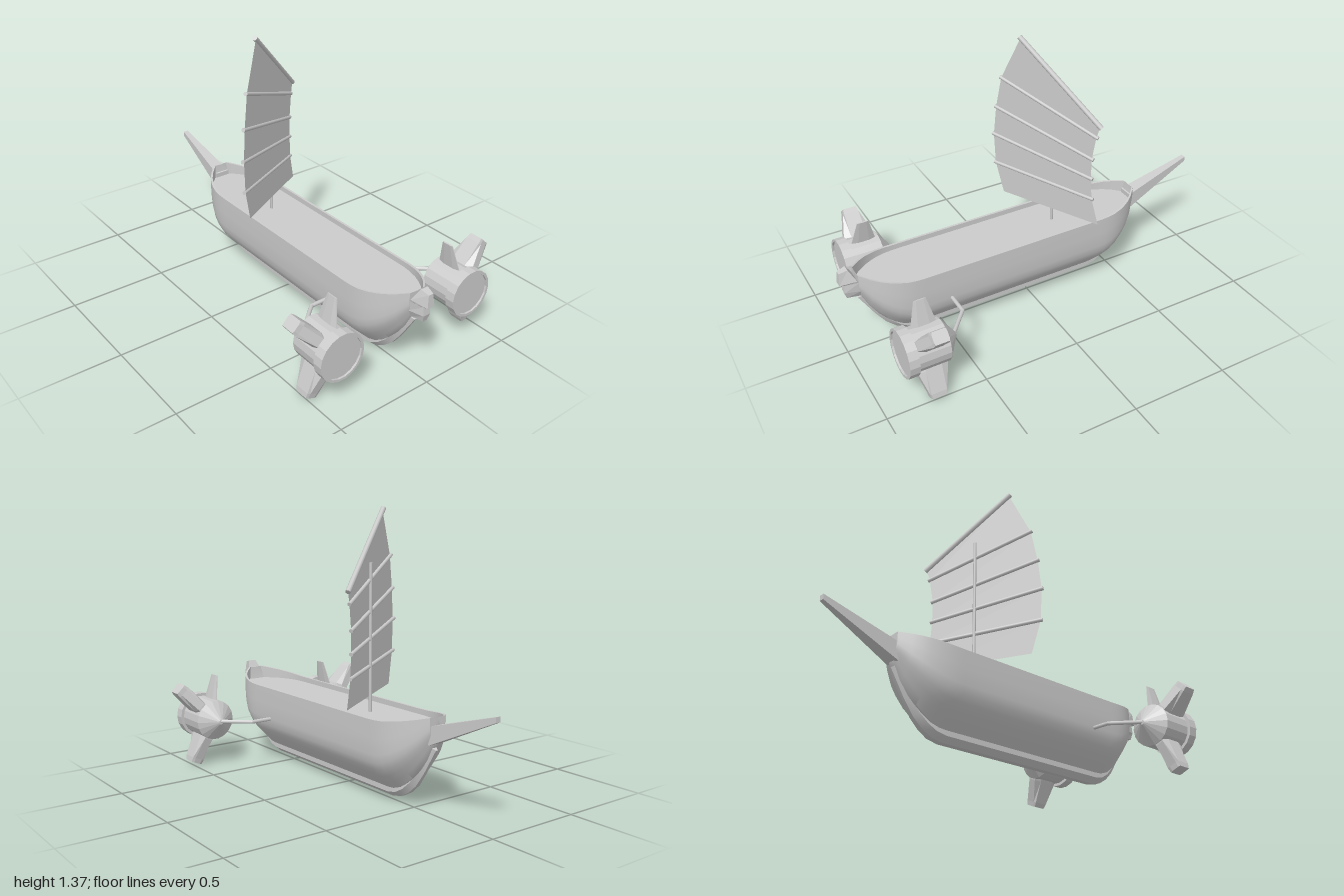
import * as THREE from 'three';
import { toCreasedNormals } from 'three/addons/utils/BufferGeometryUtils.js';

const smooth = new THREE.MeshStandardMaterial({ color: 0xcccccc });
const flat = new THREE.MeshStandardMaterial({ color: 0xcccccc, flatShading: true });
const thin = new THREE.MeshStandardMaterial({ color: 0xcccccc, side: THREE.DoubleSide });
const V = (x, y, z) => new THREE.Vector3(x, y, z);
const MID = 0.012; // z of the hull's centre line

function add(parent, name, geometry, material = smooth) {
  const mesh = new THREE.Mesh(geometry, material);
  mesh.name = name;
  parent.add(mesh);
  return mesh;
}

// Closed solid through rings of equal point count, capped and facing outward
function loft(rings, crease = 0.6) {
  const n = rings[0].length, last = (rings.length - 1) * n, pts = rings.flat(), idx = [];
  for (let i = 0; i < rings.length - 1; i++) {
    for (let j = 0; j < n; j++) {
      const a = i * n + j, b = i * n + (j + 1) % n;
      idx.push(a, b, a + n, b, b + n, a + n);
    }
  }
  for (let j = 1; j < n - 1; j++) idx.push(0, j + 1, j, last, last + j, last + j + 1);
  let volume = 0;
  for (let i = 0; i < idx.length; i += 3) {
    volume += pts[idx[i]].dot(pts[idx[i + 1]].clone().cross(pts[idx[i + 2]]));
  }
  if (volume < 0) idx.reverse();
  const g = new THREE.BufferGeometry().setFromPoints(pts);
  g.setIndex(idx);
  return toCreasedNormals(g, crease);
}

function rod(parent, name, a, b, r, sides = 8) {
  const mesh = add(parent, name, new THREE.CylinderGeometry(r, r, a.distanceTo(b), sides));
  mesh.position.copy(a).add(b).multiplyScalar(0.5);
  mesh.quaternion.setFromUnitVectors(V(0, 1, 0), b.clone().sub(a).normalize());
}

function buildHull(group) {
  // Stations: distance from midship, half width, rim height, bottom height, deck height
  const half = [
    [0.49, 0.168, 0.415, 0.07, 0.388], [0.53, 0.167, 0.416, 0.073, 0.388],
    [0.575, 0.163, 0.419, 0.088, 0.388], [0.62, 0.152, 0.425, 0.118, 0.388],
    [0.655, 0.138, 0.43, 0.15, 0.388], [0.69, 0.12, 0.436, 0.19, 0.388],
    [0.73, 0.09, 0.444, 0.25, 0.388], [0.762, 0.058, 0.452, 0.315, 0.388],
    [0.775, 0.045, 0.455, 0.34, 0.452],
  ];
  // Side curve: height fraction, width fraction
  const side = [[1, 1], [0.75, 1], [0.52, 0.985], [0.4, 0.94], [0.3, 0.84],
    [0.2, 0.68], [0.1, 0.48], [0, 0.28]];
  const station = (sign) => ([d, w, top, bottom, deck]) => {
    const wi = w - 0.012;
    const right = [[wi, deck], [wi, top], ...side.map(([t, f]) => [w * f, bottom + t * (top - bottom)])];
    const left = right.map(([z, y]) => [-z, y]).reverse();
    return [[0, deck], ...right, ...left].map(([z, y]) => V(0.14 + sign * d, y, MID + z));
  };
  const rings = [...half.map(station(-1)).reverse(), ...half.map(station(1))];
  add(group, 'hull', loft(rings));

  // Keel band following the bottom profile: x offset, y, half width
  const path = [[0.775, 0.30, 0.016], [0.745, 0.25, 0.02], [0.7, 0.175, 0.026], [0.65, 0.105, 0.034],
    [0.6, 0.06, 0.041], [0.55, 0.032, 0.045], [0.49, 0.02, 0.046]];
  const line = [...path.map(([d, y, h]) => [0.14 - d, y, h]),
    ...path.map(([d, y, h]) => [0.14 + d, y, h]).reverse()];
  const keel = line.map(([x, y, h], i) => {
    const p = line[Math.max(i - 1, 0)], q = line[Math.min(i + 1, line.length - 1)];
    const t = new THREE.Vector2(q[0] - p[0], q[1] - p[1]).normalize();
    return [[0.065, h], [0.025, h], [0, 0.35 * h], [0, -0.35 * h], [0.025, -h], [0.065, -h]]
      .map(([up, z]) => V(x - t.y * up, y + t.x * up, MID + z));
  });
  add(group, 'keel', loft(keel, 0.5));

  // Tapered spar at the narrow end
  const square = (x, y0, y1, h) => [V(x, y0, MID - h), V(x, y1, MID - h), V(x, y1, MID + h), V(x, y0, MID + h)];
  add(group, 'spar', loft([square(-0.62, 0.325, 0.412, 0.039), square(-1, 0.5, 0.525, 0.013)]));

  // Carved post: y back, y front, x back, x front, half width back, half width front
  const post = [[0.32, 0.325, 0.905, 0.97, 0.02, 0.012], [0.36, 0.36, 0.905, 0.98, 0.04, 0.02],
    [0.415, 0.405, 0.91, 0.975, 0.045, 0.02], [0.425, 0.41, 0.92, 1.0, 0.045, 0.02],
    [0.486, 0.474, 0.953, 0.995, 0.02, 0.013]];
  add(group, 'figurehead', loft(post.map(([yb, yf, xb, xf, hb, hf]) => [
    V(xb, yb, MID - hb), V(xf, yf, MID - hf), V(xf, yf, MID + hf), V(xb, yb, MID + hb)])), flat);
}

function buildSail(group) {
  rod(group, 'mast', V(-0.155, 0.38, MID), V(-0.155, 1.11, MID), 0.008);
  // Rows of the sail: z and y of each edge, bottom to top
  const rows = [[0.25, 0.475, -0.225, 0.45], [0.29, 0.64, -0.19, 0.59], [0.297, 0.805, -0.183, 0.705],
    [0.283, 0.963, -0.183, 0.815], [0.255, 1.13, -0.2, 0.94], [0.16, 1.36, -0.215, 1.0]];
  const onSail = (z, y) => V(-0.28 + (z + 0.22) * 0.585, y, z);
  const g = new THREE.PlaneGeometry(1, 1, 1, rows.length - 1);
  rows.forEach(([z0, y0, z1, y1], i) => {
    const a = onSail(z0, y0), b = onSail(z1, y1);
    g.attributes.position.setXYZ(2 * i, a.x, a.y, a.z);
    g.attributes.position.setXYZ(2 * i + 1, b.x, b.y, b.z);
  });
  g.computeVertexNormals();
  add(group, 'sail', g, thin);
  rows.slice(1).forEach(([z0, y0, z1, y1], i) => {
    const a = onSail(z0, y0), b = onSail(z1, y1), reach = b.clone().sub(a).setLength(0.009);
    const top = i === rows.length - 2;
    const shift = V(-0.864, 0, 0.503).multiplyScalar(0.003);
    rod(group, top ? 'yard' : 'batten', a.sub(reach).add(shift), b.add(reach).add(shift), top ? 0.013 : 0.01);
  });
}

function buildEngine(side) {
  const engine = new THREE.Group();
  engine.name = side > 0 ? 'leftEngine' : 'rightEngine';
  const cy = 0.245, cz = 0.393 * side;

  // Cone, drum and recessed end ring
  const profile = [[0, 0.6], [0.012, 0.6], [0.105, 0.665], [0.105, 0.825], [0.12, 0.825],
    [0.12, 0.875], [0.107, 0.875], [0.107, 0.865], [0, 0.865]].map(([r, x]) => new THREE.Vector2(r, x));
  const body = new THREE.LatheGeometry(profile, 18).rotateZ(-Math.PI / 2).translate(0, cy, cz);
  add(engine, 'engineBody', body, flat);

  // Fin rings: radius, half length, half length of the thick middle, edge and middle half thickness
  const fin = (name, degrees, sections) => {
    const a = THREE.MathUtils.degToRad(degrees), c = Math.cos(a), s = Math.sin(a);
    add(engine, name, loft(sections.map(([r, hx, mx, e, m]) =>
      [[-hx, -e], [-mx, -m], [mx, -m], [hx, -e], [hx, e], [mx, m], [-mx, m], [-hx, e]]
        .map(([x, t]) => V(0.745 + x, cy + r * s + t * c, cz + side * (r * c - t * s))))), flat);
  };
  const wide = [[0.075, 0.08, 0.04, 0.022, 0.035], [0.11, 0.075, 0.04, 0.022, 0.035],
    [0.225, 0.042, 0.038, 0.02, 0.034], [0.25, 0.037, 0.033, 0.018, 0.03]];
  fin('upperFin', 46, wide);
  fin('lowerFin', -68, wide);
  fin('innerFin', 101, [[0.09, 0.066, 0.03, 0.002, 0.009], [0.232, 0.03, 0.018, 0.002, 0.004]]);

  // Bent strut to the hull
  const strut = [V(0.5, 0.248, 0.14 * side), V(0.5, 0.248, 0.265 * side), V(0.615, 0.248, 0.4 * side)];
  rod(engine, 'strut', strut[0], strut[1], 0.01);
  rod(engine, 'strutArm', strut[1], strut[2], 0.01);
  add(engine, 'strutElbow', new THREE.SphereGeometry(0.01, 8, 6)).position.copy(strut[1]);
  return engine;
}

export function createModel() {
  const model = new THREE.Group();
  model.name = 'flyingShip';
  buildHull(model);
  buildSail(model);
  for (const side of [1, -1]) model.add(buildEngine(side));
  return model;
}
